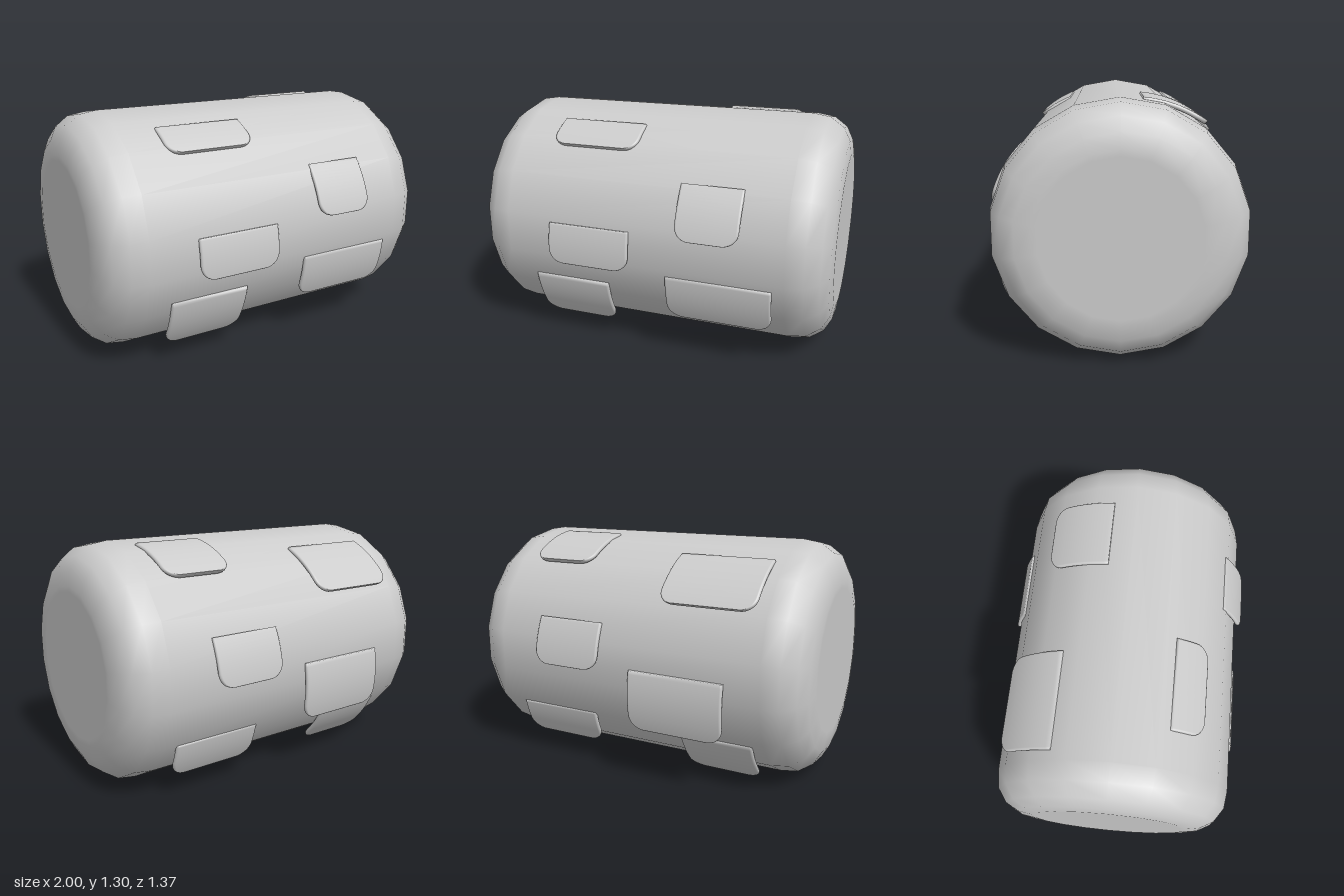
import * as THREE from 'three';

const CENTER_Y = 0.65;
const THICKNESS = 0.026;
const CORNER = 0.075;

// Rounded 18-sided drum lying along x
function createBody(material) {
  const end = [[0.65, 0.78], [0.635, 0.875], [0.582, 0.95], [0.51, 0.988], [0.43, 1], [0.4, 1], [0, 1]];
  const profile = [
    ...end.map(([r, x]) => new THREE.Vector2(r, -x)).reverse(),
    ...end.map(([r, x]) => new THREE.Vector2(r, x)),
  ];
  const geometry = new THREE.LatheGeometry(profile, 18, Math.PI / 2);
  geometry.rotateZ(-Math.PI / 2);
  const body = new THREE.Mesh(geometry, material);
  body.name = 'body';
  body.position.y = CENTER_Y;
  return body;
}

// Curved flap peeling off the drum from its start (z, y) to its loose end (z, y)
function createFlap(x0, x1, start, end, material) {
  const polar = ([z, y]) => [Math.atan2(y - CENTER_Y, z), Math.hypot(z, y - CENTER_Y)];
  const [a0, r0] = polar(start);
  let [a1, r1] = polar(end);
  if (a1 - a0 > Math.PI) a1 -= 2 * Math.PI;
  if (a0 - a1 > Math.PI) a1 += 2 * Math.PI;
  const length = Math.abs(a1 - a0) * (r0 + r1) / 2;
  const mid = (x0 + x1) / 2;
  const half = (x1 - x0) / 2;

  // Rows: distance along the flap, half width, half thickness
  const rows = [[0, half, 0]];
  for (let i = 0; i <= 12; i++) rows.push([(length - CORNER) * i / 12, half, THICKNESS / 2]);
  for (let i = 1; i <= 8; i++) {
    const a = Math.PI / 2 * i / 8;
    rows.push([length - CORNER + CORNER * Math.sin(a), half - CORNER * (1 - Math.cos(a)), THICKNESS / 2]);
  }
  rows.push([length, half - CORNER, 0]);

  // Cross-section: a flat strip with rounded sides
  const section = [];
  for (const side of [1, -1]) {
    for (let k = 0; k <= 6; k++) {
      const a = -Math.PI / 2 + Math.PI * k / 6;
      section.push([side, Math.cos(a) - 1, side * Math.sin(a)]);
    }
  }
  const n = section.length;
  const positions = [];
  const indices = [];
  rows.forEach(([s, w, h], i) => {
    const t = s / length;
    const angle = a0 + (a1 - a0) * t;
    const radius = r0 + (r1 - r0) * t;
    for (const [side, inset, lift] of section) {
      const r = radius + h * lift;
      positions.push(mid + side * (w + inset * THICKNESS / 2), CENTER_Y + r * Math.sin(angle), r * Math.cos(angle));
    }
    if (i === 0) return;
    for (let k = 0; k < n; k++) {
      const a = (i - 1) * n + k, b = (i - 1) * n + (k + 1) % n;
      const c = a + n, d = b + n;
      // Winding follows the direction the flap runs around the drum
      if (a1 < a0) indices.push(a, c, b, b, c, d);
      else indices.push(a, b, c, b, d, c);
    }
  });
  const geometry = new THREE.BufferGeometry();
  geometry.setAttribute('position', new THREE.Float32BufferAttribute(positions, 3));
  geometry.setIndex(indices);
  geometry.computeVertexNormals();
  return new THREE.Mesh(geometry, material);
}

export function createModel() {
  const group = new THREE.Group();
  const material = new THREE.MeshStandardMaterial({ color: 0xcccccc });
  const flapMaterial = new THREE.MeshStandardMaterial({ color: 0xcccccc, side: THREE.DoubleSide });
  group.add(createBody(material));

  // x range, attached edge (z, y), loose edge (z, y)
  const flaps = {
    frontFlap: [
      [-0.58, -0.08, [0.28, 1.223], [0.452, 1.122]],
      [0.21, 0.55, [0.54, 0.995], [0.672, 0.732]],
      [-0.52, -0.05, [0.637, 0.73], [0.66, 0.512]],
      [0.145, 0.72, [0.623, 0.5], [0.56, 0.254]],
      [-0.65, -0.2, [0.587, 0.39], [0.465, 0.12]],
    ],
    backFlap: [
      [-0.73, -0.2, [-0.305, 1.213], [-0.587, 1.005]],
      [0.29, 0.675, [-0.117, 1.278], [-0.442, 1.155]],
      [-0.595, -0.055, [-0.642, 0.64], [-0.634, 0.322]],
      [0.125, 0.525, [-0.602, 0.865], [-0.674, 0.617]],
      [0.21, 0.71, [-0.556, 0.33], [-0.48, 0.138]],
      [-0.715, -0.305, [-0.527, 0.288], [-0.348, 0.05]],
    ],
  };
  for (const [name, list] of Object.entries(flaps)) {
    list.forEach(([x0, x1, start, end], i) => {
      const flap = createFlap(x0, x1, start, end, flapMaterial);
      flap.name = `${name}${i + 1}`;
      group.add(flap);
    });
  }
  return group;
}
